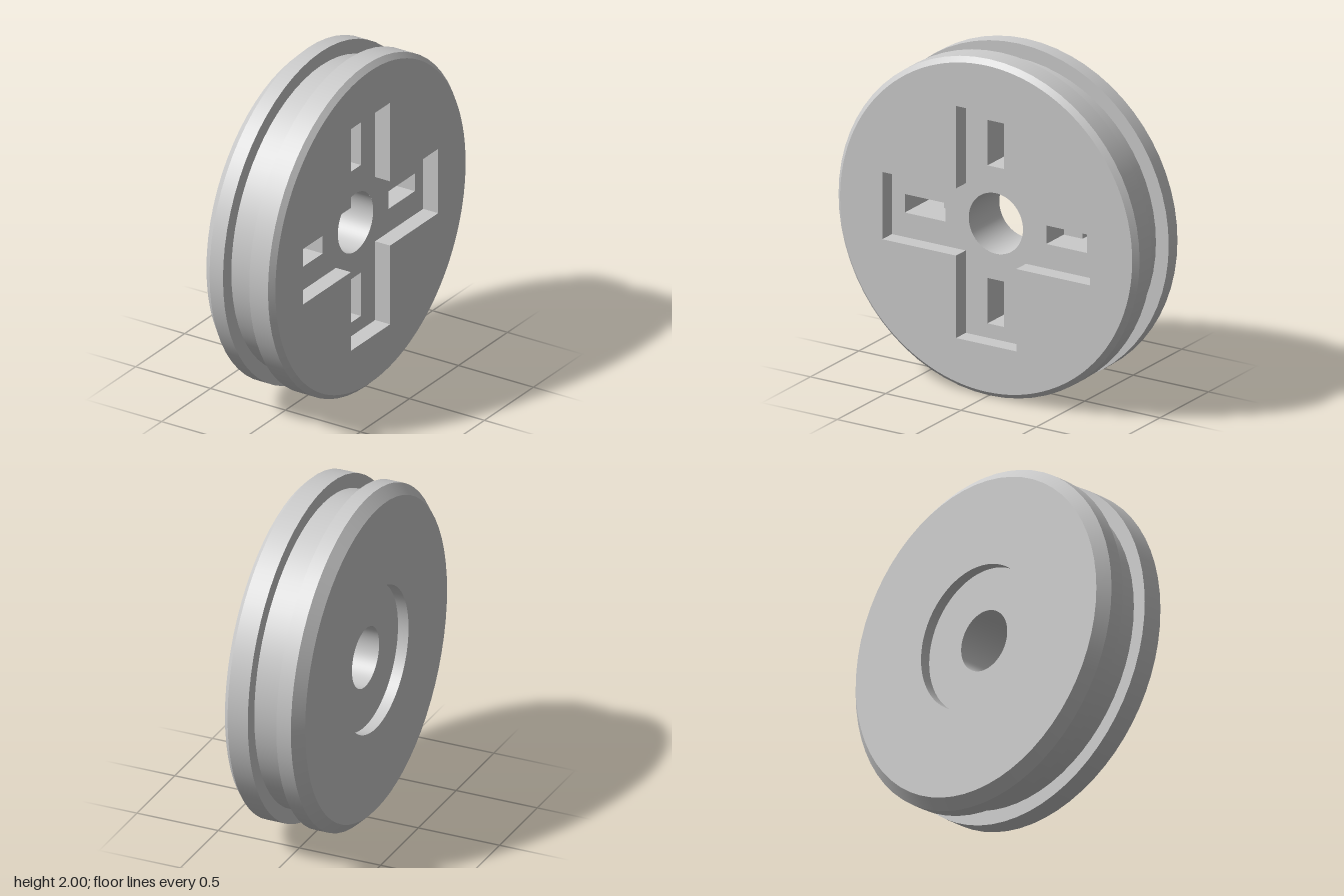
import * as THREE from 'three';
import { mergeGeometries } from 'three/addons/utils/BufferGeometryUtils.js';

const SEG = 64;
const FACE = 0.24, FLOOR = 0.14;       // outer face and cross pocket floor along the axle
const SLOT_IN = -0.04, SLOT_OUT = -0.12; // stepped slot floors
const BORE = 0.18;

const rect = (x0, y0, x1, y1) => [[x0, y0], [x1, y0], [x1, y1], [x0, y1]];
const toVecs = (pts) => pts.map(([x, y]) => new THREE.Vector2(x, y));
const turn = (pts, a) => toVecs(pts)
  .map((p) => p.rotateAround(new THREE.Vector2(), a))
  .map((p) => [p.x, p.y]);

// Flat face at a given depth, normal along +z before it is turned to the axle
function flat(shape, depth, holes = []) {
  shape.holes.push(...holes);
  return new THREE.ShapeGeometry(shape, SEG).translate(0, 0, depth).toNonIndexed();
}

// Pocket wall along a counter-clockwise path, facing the inside
function wall(pts, lo, hi) {
  const v = [];
  for (let i = 0; i < pts.length - 1; i++) {
    const [a, b] = [pts[i], pts[i + 1]];
    v.push(...a, lo, ...a, hi, ...b, hi, ...a, lo, ...b, hi, ...b, lo);
  }
  const g = new THREE.BufferGeometry();
  g.setAttribute('position', new THREE.Float32BufferAttribute(v, 3));
  g.computeVertexNormals();
  return g;
}

function circle(r) {
  const s = new THREE.Shape();
  s.absarc(0, 0, r, 0, Math.PI * 2, false);
  return s;
}

// Joins faces and turns their normal axis onto the axle (x)
function join(list) {
  list.forEach((g) => g.deleteAttribute('uv'));
  return mergeGeometries(list).rotateY(Math.PI / 2);
}

export function createModel() {
  const group = new THREE.Group();
  const material = new THREE.MeshStandardMaterial({ color: 0xcccccc });
  const add = (name, geometry) => {
    const mesh = new THREE.Mesh(geometry, material);
    mesh.name = name;
    mesh.position.y = 1;
    group.add(mesh);
  };

  // Turned body: bore, back recess, chamfered rims and groove; one lathe per segment keeps edges sharp
  const profile = toVecs([
    [BORE, FLOOR], [BORE, -0.175], [0.43, -0.175], [0.43, -0.24], [0.94, -0.24],
    [1, -0.18], [1, -0.09], [0.915, -0.09], [0.915, 0.085], [1, 0.085],
    [1, 0.21], [0.97, FACE],
  ]);
  const bands = profile.slice(1).map((p, i) => new THREE.LatheGeometry([profile[i], p], SEG));
  add('wheelBody', mergeGeometries(bands).rotateZ(-Math.PI / 2));

  // Outer face with the cross-shaped opening
  const w = 0.2, l = 0.69;
  const cross = [0, 1, 2, 3].flatMap((k) => turn([[w, w], [w, l], [-w, l]].slice(0, 3), k * Math.PI / 2));
  add('outerFace', join([flat(circle(0.97), FACE, [new THREE.Path(toVecs(cross))])]));

  // Cross pocket: walls and floor, pierced by the bore and four slots
  const quarter = [0, 1, 2, 3].map((k) => k * Math.PI / 2);
  const h = 0.055, r0 = 0.335, rs = 0.46, r1 = 0.605;
  const slotHoles = quarter.map((a) => new THREE.Path(toVecs(turn(rect(-h, r0, h, r1), a))));
  add('crossPocket', join([
    wall([...cross, cross[0]], FLOOR, FACE),
    flat(new THREE.Shape(toVecs(cross)), FLOOR, [circle(BORE), ...slotHoles]),
  ]));

  // Stepped slots, one in each arm
  quarter.forEach((a, i) => {
    add('slot' + (i + 1), join([
      wall(turn([[-h, rs], [-h, r0], [h, r0], [h, rs]], a), SLOT_IN, FLOOR),
      wall(turn([[h, rs], [h, r1], [-h, r1], [-h, rs]], a), SLOT_OUT, FLOOR),
      wall(turn([[-h, rs], [h, rs]], a), SLOT_OUT, SLOT_IN),
      flat(new THREE.Shape(toVecs(turn(rect(-h, r0, h, rs), a))), SLOT_IN),
      flat(new THREE.Shape(toVecs(turn(rect(-h, rs, h, r1), a))), SLOT_OUT),
    ]));
  });

  return group;
}
